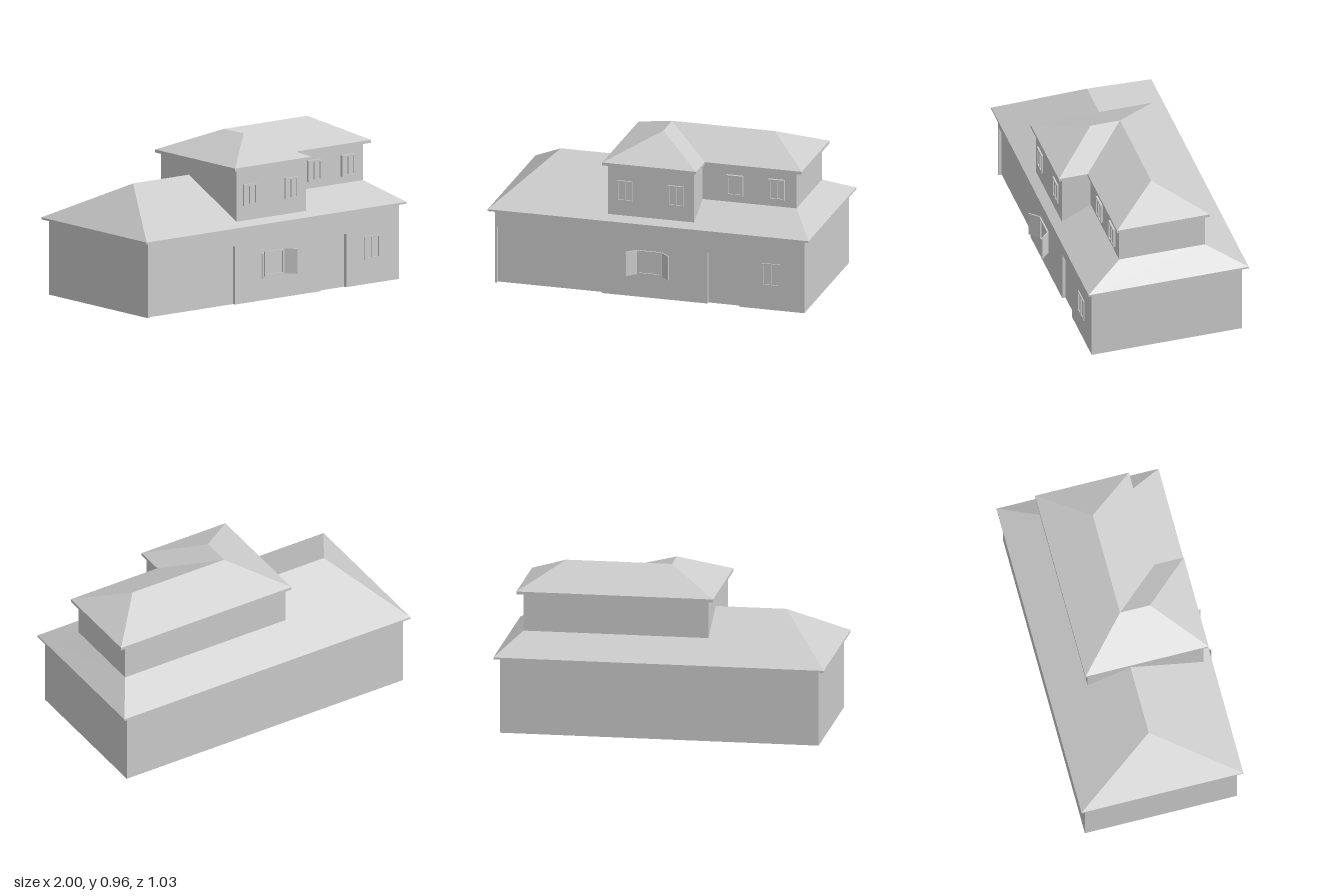
import * as THREE from 'three';

const material = new THREE.MeshStandardMaterial({ color: 0xcccccc, side: THREE.DoubleSide });

function add(parent, name, geometry, x = 0, y = 0, z = 0) {
  const mesh = new THREE.Mesh(geometry, material);
  mesh.name = name;
  mesh.position.set(x, y, z);
  parent.add(mesh);
  return mesh;
}

// Plan points are [x, z]; shapes are drawn in (x, -z) and laid flat
const planPoints = (plan) => plan.map(([x, z]) => new THREE.Vector2(x, -z));

const rect = (x0, x1, y0, y1) => [[x0, y0], [x1, y0], [x1, y1], [x0, y1]];
const path = (pts, Type) => new Type(pts.map(([x, y]) => new THREE.Vector2(x, y)));

// Flat-shaded roof slopes: each plan polygon is lifted by a height rule
function addRoof(parent, name, slopes, height) {
  const roof = new THREE.Group();
  roof.name = name;
  for (const [slopeName, plan] of Object.entries(slopes)) {
    let g = new THREE.ShapeGeometry(new THREE.Shape(planPoints(plan)));
    g.rotateX(-Math.PI / 2);
    const p = g.attributes.position;
    for (let i = 0; i < p.count; i++) p.setY(i, height(p.getX(i), p.getZ(i)));
    g = g.toNonIndexed();
    g.computeVertexNormals();
    add(roof, slopeName, g);
  }
  parent.add(roof);
}

// Eave: fascia and soffit ring between the roof edge and the walls
function addEave(parent, name, outer, inner, y, depth) {
  const shape = new THREE.Shape(planPoints(outer));
  shape.holes.push(new THREE.Path(planPoints(inner)));
  const g = new THREE.ExtrudeGeometry(shape, { depth, bevelEnabled: false });
  g.rotateX(-Math.PI / 2);
  add(parent, name, g, 0, y, 0);
}

// Wall panels along a plan path, from a bottom rule up to a level top
function addWalls(parent, name, plan, bottom, top, closed = true) {
  const v = [];
  const n = closed ? plan.length : plan.length - 1;
  for (let i = 0; i < n; i++) {
    const [ax, az] = plan[i], [bx, bz] = plan[(i + 1) % plan.length];
    const a = [ax, bottom(ax, az), az], b = [bx, bottom(bx, bz), bz];
    const c = [bx, top, bz], d = [ax, top, az];
    v.push(...a, ...b, ...c, ...a, ...c, ...d);
  }
  const g = new THREE.BufferGeometry();
  g.setAttribute('position', new THREE.Float32BufferAttribute(v, 3));
  g.computeVertexNormals();
  add(parent, name, g);
}

// Framed window, with its outer face standing proud of the wall
function addWindow(parent, name, x, y, z, w, h, panes = 2) {
  const win = new THREE.Group();
  win.name = name;
  win.position.set(x, y, z);
  const bar = 0.011;
  const frame = path(rect(-w / 2, w / 2, -h / 2, h / 2), THREE.Shape);
  const paneW = (w - bar * (panes + 1)) / panes;
  for (let i = 0; i < panes; i++) {
    const x0 = -w / 2 + bar + i * (paneW + bar);
    frame.holes.push(path(rect(x0, x0 + paneW, -h / 2 + bar, h / 2 - bar), THREE.Path));
  }
  add(win, 'windowFrame', new THREE.ExtrudeGeometry(frame, { depth: 0.02, bevelEnabled: false }), 0, 0, -0.01);
  add(win, 'windowPane', new THREE.PlaneGeometry(w - bar, h - bar), 0, 0, 0.002);
  parent.add(win);
  return win;
}

// Door panel set back in its opening, with reveals on both sides and the top
function addRecessedDoor(parent, name, x0, x1, h, z, depth) {
  const door = new THREE.Group();
  door.name = name;
  add(door, 'doorPanel', new THREE.PlaneGeometry(x1 - x0, h), (x0 + x1) / 2, h / 2, z - depth);
  for (const x of [x0, x1]) {
    add(door, 'doorReveal', new THREE.PlaneGeometry(depth, h).rotateY(x === x0 ? Math.PI / 2 : -Math.PI / 2), x, h / 2, z - depth / 2);
  }
  add(door, 'doorHead', new THREE.PlaneGeometry(x1 - x0, depth).rotateX(Math.PI / 2), (x0 + x1) / 2, h, z - depth / 2);
  parent.add(door);
}

export function createModel() {
  const house = new THREE.Group();
  house.name = 'house';

  // Ground floor walls, open underneath
  const front = 0.455, back = -0.485, side = 0.965, wallTop = 0.46;
  addWalls(house, 'groundWalls', [[side, front], [side, back], [-side, back], [-side, front]], () => 0, wallTop, false);
  const facade = path([
    [-side, 0], [-0.95, 0], [-0.95, 0.355], [-0.295, 0.355], [-0.295, 0], [0.36, 0],
    [0.36, 0.325], [0.56, 0.325], [0.56, 0], [side, 0], [side, wallTop], [-side, wallTop],
  ], THREE.Shape);
  add(house, 'frontWall', new THREE.ShapeGeometry(facade), 0, 0, front);
  addRecessedDoor(house, 'garageDoor', -0.95, -0.295, 0.355, front, 0.02);
  addRecessedDoor(house, 'frontDoor', 0.36, 0.56, 0.325, front, 0.02);

  // Ground floor windows, the middle one with open shutters
  addWindow(house, 'groundWindow', 0.757, 0.22, front - 0.003, 0.115, 0.145);
  const shuttered = addWindow(house, 'shutteredWindow', 0, 0.22, front, 0.15, 0.152, 1);
  for (const s of [-1, 1]) {
    const shutter = add(shuttered, 'shutter', new THREE.BoxGeometry(0.08, 0.152, 0.007), s * 0.107, 0, 0.031);
    shutter.rotation.y = -s * Math.PI / 4;
  }

  // Lower hipped roof, cut out around the upper floor
  const lowerHeight = (x, z) => 0.47 + 0.245 * Math.min(
    (0.485 - z) / 0.505, (z + 0.515) / 0.495, (1 - x) / 0.305, (x + 1) / 0.305);
  addRoof(house, 'lowerRoof', {
    frontSlope: [[-1, 0.485], [1, 0.485], [0.855, 0.25], [0.27, 0.25], [0.27, 0.43], [-0.265, 0.43], [-0.265, -0.02], [-0.695, -0.02]],
    backSlope: [[1, -0.515], [-1, -0.515], [-0.695, -0.02], [-0.265, -0.02], [-0.265, -0.285], [0.855, -0.285]],
    leftHip: [[1, 0.485], [1, -0.515], [0.855, -0.285], [0.855, 0.25]],
    rightHip: [[-1, -0.515], [-1, 0.485], [-0.695, -0.02]],
  }, lowerHeight);
  addEave(house, 'lowerEave', rect(-1, 1, -0.515, 0.485), rect(-side, side, back, front), 0.458, 0.012);

  // Upper floor walls, with feet following the lower roof
  const upperPlan = [[-0.265, 0.43], [0.27, 0.43], [0.27, 0.25], [0.855, 0.25], [0.855, -0.285], [-0.265, -0.285]];
  addWalls(house, 'upperWalls', [...upperPlan, [-0.265, -0.02]], lowerHeight, 0.81);
  for (const x of [-0.163, 0.155]) addWindow(house, 'wingWindow', x, 0.652, 0.43, 0.1, 0.13);
  for (const x of [0.473, 0.733]) addWindow(house, 'upperWindow', x, 0.692, 0.257, 0.1, 0.13);

  // L-shaped upper roof: main hip and front wing
  const upperHeight = (x, z) => {
    const main = Math.min((0.275 - z) / 0.29, (z + 0.305) / 0.29, (0.895 - x) / 0.255, (x + 0.295) / 0.295);
    const wing = Math.min((x + 0.295) / 0.295, (0.29 - x) / 0.29, (0.455 - z) / 0.285, (z + 0.305) / 0.29);
    return 0.828 + 0.134 * Math.max(main, wing);
  };
  addRoof(house, 'upperRoof', {
    rightSlope: [[-0.295, -0.305], [-0.295, 0.455], [0, 0.17], [0, -0.015]],
    wingHip: [[-0.295, 0.455], [0.29, 0.455], [0, 0.17]],
    wingSlope: [[0.29, 0.455], [0.29, 0.275], [0, -0.015], [0, 0.17]],
    frontSlope: [[0.29, 0.275], [0.895, 0.275], [0.64, -0.015], [0, -0.015]],
    leftHip: [[0.895, 0.275], [0.895, -0.305], [0.64, -0.015]],
    backSlope: [[0.895, -0.305], [-0.295, -0.305], [0, -0.015], [0.64, -0.015]],
  }, upperHeight);
  addEave(house, 'upperEave',
    [[-0.295, 0.455], [0.29, 0.455], [0.29, 0.275], [0.895, 0.275], [0.895, -0.305], [-0.295, -0.305]],
    upperPlan, 0.81, 0.018);

  return house;
}
